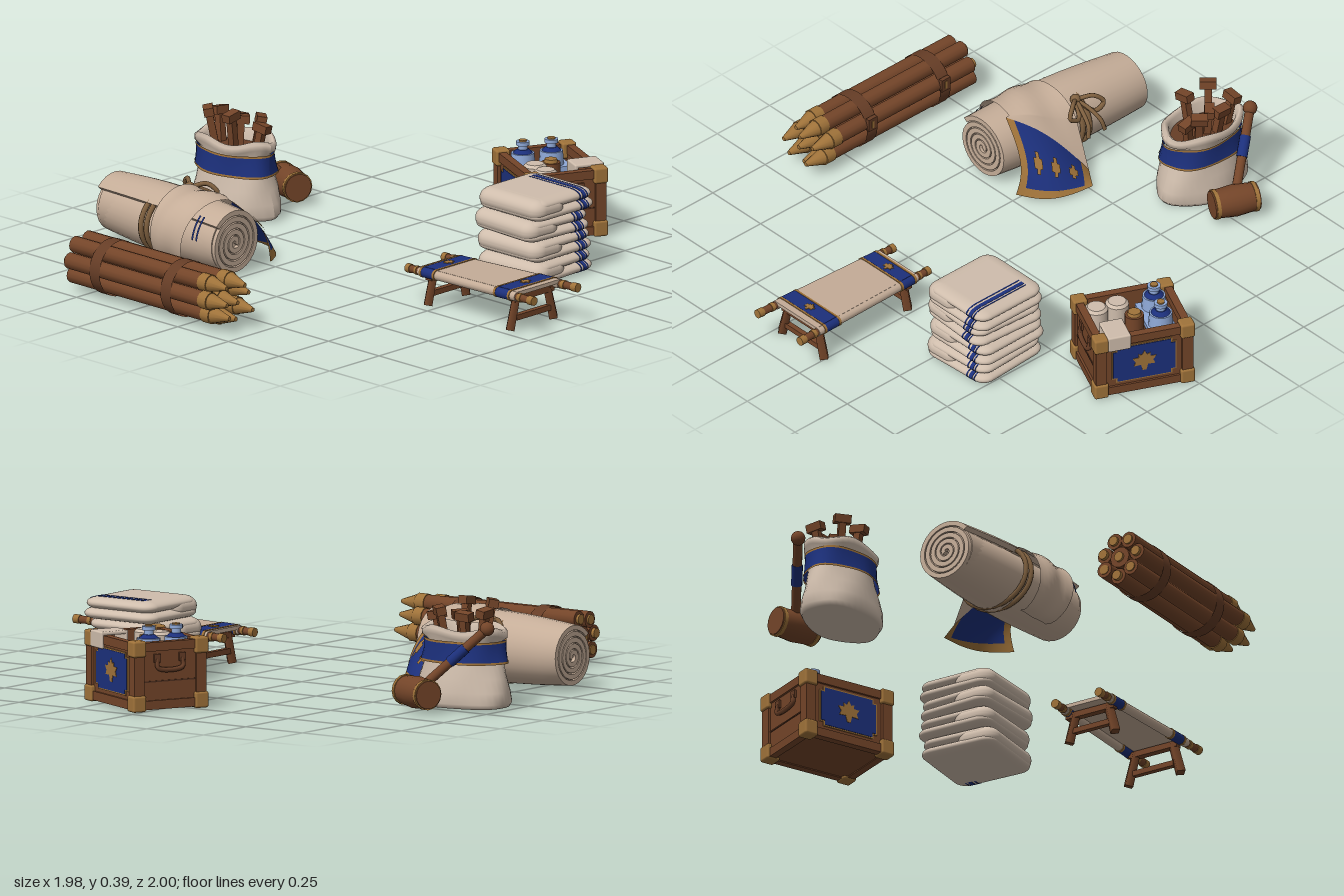
import * as THREE from 'three';
import { toCreasedNormals } from 'three/addons/utils/BufferGeometryUtils.js';
import { RoundedBoxGeometry } from 'three/addons/geometries/RoundedBoxGeometry.js';

const mat = (name, color, side = THREE.FrontSide) => {
  const m = new THREE.MeshStandardMaterial({ color, side });
  m.name = name;
  return m;
};
const canvas = mat('canvas', 0xc5ad98, THREE.DoubleSide), towelCloth = mat('towel', 0xcfbdac, THREE.DoubleSide);
const wood = mat('wood', 0x744529), darkWood = mat('darkWood', 0x4f2f1e);
const leather = mat('leather', 0x663d26, THREE.DoubleSide), gold = mat('gold', 0xa0733a, THREE.DoubleSide);
const blue = mat('blue', 0x1c307c, THREE.DoubleSide), paleBlue = mat('paleBlue', 0x8fa9d8), rope = mat('rope', 0x806140);

const V = (x, y, z) => new THREE.Vector3(x, y, z);
const group = (name, parent, x = 0, y = 0, z = 0) => {
  const g = new THREE.Group();
  g.name = name;
  g.position.set(x, y, z);
  parent.add(g);
  return g;
};
const add = (parent, name, geo, m, x = 0, y = 0, z = 0) => {
  const mesh = new THREE.Mesh(geo, m);
  mesh.name = name;
  mesh.position.set(x, y, z);
  parent.add(mesh);
  return mesh;
};
const box = (p, name, m, w, h, d, x, y, z) => add(p, name, new THREE.BoxGeometry(w, h, d), m, x, y, z);
const cyl = (p, name, m, r0, r1, h, x, y, z) => add(p, name, new THREE.CylinderGeometry(r1, r0, h, 16), m, x, y, z);
// Round bar from a to b
const rod = (p, name, m, a, b, r0, r1 = r0, sides = 12) => {
  const mesh = add(p, name, new THREE.CylinderGeometry(r1, r0, a.distanceTo(b), sides), m);
  mesh.position.copy(a).lerp(b, 0.5);
  mesh.quaternion.setFromUnitVectors(V(0, 1, 0), b.clone().sub(a).normalize());
  return mesh;
};
const cord = (p, name, m, pts, r) =>
  add(p, name, new THREE.TubeGeometry(new THREE.CatmullRomCurve3(pts), 24, r, 6), m);
// Surface from a rule fn(u, v) -> point
const sheet = (p, name, m, fn, nu = 16, nv = 12) => {
  const g = new THREE.PlaneGeometry(1, 1, nu, nv), a = g.attributes.position;
  for (let i = 0; i < a.count; i++) a.setXYZ(i, ...fn(a.getX(i) + 0.5, a.getY(i) + 0.5).toArray());
  g.computeVertexNormals();
  return add(p, name, g, m);
};
const warp = (g, fn) => {
  const a = g.attributes.position, v = V(0, 0, 0);
  for (let i = 0; i < a.count; i++) { v.fromBufferAttribute(a, i); fn(v); a.setXYZ(i, v.x, v.y, v.z); }
  g.computeVertexNormals();
  return g;
};
const plate = (pts, depth) => new THREE.ExtrudeGeometry(
  new THREE.Shape(pts.map(p => new THREE.Vector2(...p))), { depth, bevelEnabled: false });
// Leaf ornament in the xy plane, mirrored from half an outline
const leafGeo = s => {
  const half = [[0, 1], [0.22, 0.6], [0.5, 0.72], [0.48, 0.38], [1, 0.36], [0.74, -0.02], [0.9, -0.4], [0.3, -0.36], [0.16, -0.9]];
  const all = [...half, ...half.slice(1).reverse().map(([x, y]) => [-x, y])];
  return plate(all.map(([x, y]) => [x * s, y * s]), 0.004);
};
// Panel with notched corners
const notchedGeo = (w, h, c, depth) => plate([[w - c, -h], [w - c, c - h], [w, c - h], [w, h - c], [w - c, h - c], [w - c, h],
  [c - w, h], [c - w, h - c], [-w, h - c], [-w, c - h], [c - w, c - h], [c - w, -h]], depth);

function poleBundle(root) {
  const g = group('poleBundle', root, -0.89, 0.103, 0);
  for (let i = 0; i < 8; i++) {
    const r = i ? 0.07 : 0, t = i * Math.PI * 2 / 7 + 0.35, x = r * Math.cos(t), y = r * Math.sin(t);
    const z = 0.075 + 0.02 * Math.sin(i * 2.3);
    rod(g, 'pole', wood, V(x, y, -0.575 + 0.008 * Math.sin(i * 3)), V(x, y, z), i ? 0.03 : 0.039);
    rod(g, 'poleEnd', gold, V(x, y, -0.584), V(x, y, -0.57), 0.018);
    rod(g, 'poleCollar', gold, V(x, y, z), V(x, y, z + 0.04), 0.033);
    rod(g, 'poleTip', gold, V(x, y, z + 0.04), V(x * 0.95, y * 0.95, z + 0.115), 0.03, 0.008);
  }
  for (const z of [-0.42, -0.07]) {
    const s = add(g, 'strap', new THREE.CylinderGeometry(0.101, 0.101, 0.05, 28, 1, true), leather, 0, 0, z);
    s.rotation.x = Math.PI / 2;
    box(g, 'buckle', leather, 0.016, 0.05, 0.04, 0.098, 0.03, z);
    box(g, 'bucklePin', gold, 0.008, 0.03, 0.01, 0.104, 0.03, z);
  }
}

function bedroll(root) {
  const g = group('bedroll', root);
  const axisX = z => -0.433 + (-0.27 - z) * 0.085, L = 0.645;
  const swell = z => 0.92 + 0.13 * Math.sin(Math.PI * (z + 0.915) / L) + 0.06 * (z + 0.915) / L;
  // Spiral strip, extruded then swollen in the middle
  const shape = new THREE.Shape(), spiral = (off, i) => {
    const t = i / 130 * Math.PI * 9, r = 0.018 + 0.108 * i / 130 + off;
    return [r * Math.cos(t - 0.7), r * Math.sin(t - 0.7)];
  };
  shape.moveTo(...spiral(0, 0));
  for (let i = 1; i <= 130; i++) shape.lineTo(...spiral(0, i));
  for (let i = 130; i >= 0; i--) shape.lineTo(...spiral(-0.019, i));
  const place = v => {
    const z = v.z - 0.915, k = swell(z);
    v.set(axisX(z) + v.x * k, Math.max(0.003, 0.122 + v.y * k), z);
  };
  const geo = new THREE.ExtrudeGeometry(shape, { depth: L, steps: 8, bevelEnabled: false });
  add(g, 'rolledCloth', toCreasedNormals(warp(geo, place), 0.6), canvas);
  const core = new THREE.CylinderGeometry(0.108, 0.108, L - 0.03, 28).rotateX(Math.PI / 2).translate(0, 0, L / 2);
  add(g, 'rollCore', toCreasedNormals(warp(core, place), 0.6), canvas);
  // Short blue stripes on the side of the roll
  for (const z of [-0.365, -0.345]) sheet(g, 'rollStripe', blue, (t, w) => {
    const a = 2.3 + 0.7 * t, r = 0.13 * swell(z);
    return V(axisX(z) + r * Math.cos(a), 0.122 + r * Math.sin(a), z + 0.008 * w);
  }, 8, 1);
  // Loose flap over the roll and its bordered corner
  const inner = w => V(-0.38 + 0.2 * w, 0.25 - 0.225 * w + 0.035 * Math.sin(Math.PI * w), -0.335 - 0.215 * w);
  const outer = w => V(-0.255 + 0.145 * w + 0.035 * Math.sin(Math.PI * w), 0.012, -0.27 - 0.235 * w + 0.035 * Math.sin(Math.PI * w));
  sheet(g, 'flap', canvas, (t, w) => {
    const s = Math.min(t / 0.7, 1), a = 4.3 + (1.25 - 0.75 * w - 4.3) * s;
    const z = -0.42 - 0.15 * w + 0.07 * s * (1 - w), r = 0.142 + 0.005 * Math.sin(w * 9 + s * 5);
    return V(axisX(z) + r * Math.cos(a) * 1.08, Math.max(0.004, 0.122 + r * Math.sin(a)), z)
      .lerp(inner(w), Math.max(0, (t - 0.7) / 0.3));
  }, 30, 10);
  const corner = (name, m, u0, u1, v0, v1, lift = 0) => sheet(g, name, m, (a, b) => {
    const u = u0 + a * (u1 - u0), v = v0 + b * (v1 - v0), p = inner(u).lerp(outer(u), v), s = Math.sin(Math.PI * v);
    p.x += s * 0.05 * (1 - u) + lift;
    p.y += lift;
    return p;
  });
  corner('bluePanel', blue, 0.1, 0.9, 0, 0.86);
  corner('hem', gold, 0, 1, 0.86, 1);
  corner('frontHem', gold, 0, 0.1, 0, 0.86);
  corner('backHem', gold, 0.9, 1, 0, 0.86);
  for (const u of [0.25, 0.5, 0.75]) {
    corner('ornament', gold, u - 0.06, u + 0.06, 0.4, 0.55, 0.005);
    corner('ornamentStem', gold, u - 0.025, u + 0.025, 0.32, 0.63, 0.006);
  }
  // Rope loops and bow
  for (const z of [-0.605, -0.635]) {
    const loop = add(g, 'ropeLoop', new THREE.TorusGeometry(0.135, 0.01, 6, 36), rope, axisX(z), 0.124, z);
    loop.scale.y = 0.85;
  }
  const k = V(-0.315, 0.228, -0.61);
  add(g, 'knot', new THREE.SphereGeometry(0.02, 12, 8), rope, k.x, k.y, k.z);
  const from = (x, y, z) => V(x, y, z).add(k);
  for (const s of [-1, 1]) {
    cord(g, 'bowLoop', rope, [k, from(0.04, 0.015, s * 0.05), from(0.06, -0.015, s * 0.08), from(0.06, -0.035, s * 0.04), k], 0.009);
    cord(g, 'ropeTail', rope, [k, from(0.05, -0.015, s * 0.015), from(0.1, -0.05, s * 0.03), from(0.11, -0.09, s * 0.04)], 0.008);
  }
}

function pegSack(root) {
  const g = group('pegSack', root, 0.125, 0, -0.81);
  const lathe = (name, pts, m) => add(g, name, warp(new THREE.LatheGeometry(
    pts.map(([r, y]) => new THREE.Vector2(r, y)), 40), v => {
    const t = Math.atan2(v.z, v.x), k = 1 + 0.025 * Math.sin(5 * t + v.y * 25);
    v.set(v.x * k * 0.124, v.y + (v.y > 0.25 ? 0.008 * Math.sin(4 * t) : 0), v.z * k * 0.183);
  }), m);
  lathe('sackBody', [[0, 0.003], [0.95, 0.003], [1.02, 0.02], [1, 0.06], [0.93, 0.11], [0.85, 0.16], [0.79, 0.2], [0.8, 0.235],
    [0.91, 0.255], [0.92, 0.275], [0.84, 0.285], [0.75, 0.27], [0.71, 0.225]], towelCloth);
  lathe('sackBand', [[0.93, 0.165], [0.89, 0.2], [0.88, 0.235]], blue);
  lathe('bandLowerTrim', [[0.945, 0.16], [0.94, 0.168]], gold);
  lathe('bandUpperTrim', [[0.89, 0.233], [0.89, 0.241]], gold);
  lathe('sackInside', [[0.73, 0.235], [0, 0.235]], leather);
  // Wooden pegs
  for (let i = 0; i < 7; i++) {
    const x = [0.02, -0.03, 0.035][i % 3], z = -0.09 + 0.028 * i, h = 0.345 + 0.025 * Math.sin(i * 1.9);
    const peg = group('peg', g, x, 0.2, z);
    peg.rotation.set(z * 2, i * 0.8, -x * 5, 'XZY');
    box(peg, 'pegShaft', wood, 0.026, h - 0.2, 0.026, 0, (h - 0.2) / 2, 0);
    box(peg, 'pegHead', wood, 0.06, 0.03, 0.036, 0, h - 0.2, 0);
  }
  // Mallet leaning on the sack
  const m = group('mallet', root);
  const top = V(0.205, 0.295, -0.97), hit = V(0.34, 0.08, -0.775);
  rod(m, 'handle', wood, top, hit, 0.017);
  rod(m, 'grip', blue, top.clone().lerp(hit, 0.32), top.clone().lerp(hit, 0.56), 0.02);
  add(m, 'pommel', new THREE.SphereGeometry(0.026, 14, 10), wood, top.x, top.y, top.z);
  const head = group('malletHead', m, 0.347, 0.068, -0.765);
  head.rotation.set(Math.PI / 2, 0, 0.4);
  const barrel = [[0, -0.085], [0.05, -0.085], [0.058, 0], [0.05, 0.085], [0, 0.085]].map(p => new THREE.Vector2(...p));
  add(head, 'malletBarrel', toCreasedNormals(new THREE.LatheGeometry(barrel, 20), 0.6), wood);
  for (const y of [-0.073, 0.073]) cyl(head, 'malletBand', gold, 0.055, 0.055, 0.014, 0, y, 0);
}

function cot(root) {
  const g = group('cot', root);
  const P = (s, z, y = 0) => {
    const t = (z - 0.36) / 0.64;
    return V(-0.115 + 0.005 * t + s * (0.091 + 0.02 * t), 0.118 + 0.018 * t + y, z);
  };
  const bands = [[0.445, 0.5], [0.82, 0.88]];
  for (const s of [-1, 1]) {
    rod(g, 'rail', wood, P(s, 0.365), P(s, 0.995), 0.014);
    rod(g, 'canvasSleeve', canvas, P(s, 0.425), P(s, 0.915), 0.017);
    for (const [a, b] of [[0.36, 0.38], [0.405, 0.415], [0.925, 0.94], [0.975, 1]]) rod(g, 'railCap', gold, P(s, a), P(s, b), 0.0165);
    for (const [a, b] of bands) {
      rod(g, 'sleeveBand', blue, P(s, a), P(s, b), 0.019);
      for (const z of [a - 0.005, b + 0.005]) rod(g, 'sleeveTrim', gold, P(s, z - 0.005), P(s, z + 0.005), 0.02);
    }
  }
  const strip = (name, m, z0, z1, y, h) => add(g, name, warp(new THREE.BoxGeometry(2, h, 1).toNonIndexed(),
    v => v.copy(P(v.x, (z0 + z1) / 2 + v.z * (z1 - z0), y + v.y))), m);
  strip('bed', canvas, 0.425, 0.915, 0.0105, 0.014);
  for (const [a, b] of bands) {
    strip('blueStripe', blue, a, b, 0.017, 0.006);
    for (const z of [a - 0.005, b + 0.005]) strip('stripeTrim', gold, z - 0.004, z + 0.004, 0.017, 0.007);
    const leaf = add(g, 'ornament', leafGeo(0.021), gold, -0.112, P(0, (a + b) / 2).y + 0.019, (a + b) / 2);
    leaf.rotation.x = -Math.PI / 2;
  }
  // Splayed legs with cross bars
  for (const z of [0.465, 0.88]) {
    for (const s of [-1, 1]) {
      const foot = P(s * 1.02, z);
      foot.y = 0.003;
      rod(g, 'leg', wood, foot, P(s * 0.72, z, -0.008), 0.021, 0.019, 4);
    }
    box(g, 'legBar', wood, 0.17, 0.02, 0.02, -0.11, 0.045, z);
    box(g, 'topBar', wood, 0.2, 0.022, 0.026, -0.11, P(0, z).y - 0.016, z);
  }
}

function towelStack(root) {
  const g = group('towelStack', root, 0.355, 0, 0.435);
  for (let i = 0; i < 4; i++) {
    const t = group('towel', g, 0.007 * Math.sin(i * 2.4), 0.002 + i * 0.0765, 0.006 * Math.cos(i * 2));
    t.rotation.y = 0.06 * Math.sin(i * 1.7 + 1.2);
    // Rounded fold on the closed side
    add(t, 'foldedEdge', new RoundedBoxGeometry(0.16, 0.1, 0.312, 5, 0.048).scale(1, 0.78, 1), towelCloth, -0.074, 0.039, 0);
    for (let j = 0; j < 2; j++) {
      const w = 0.302 - 0.01 * j, d = 0.315 - 0.012 * j, y = 0.02 + j * 0.037;
      add(t, 'layer', new RoundedBoxGeometry(w, 0.1, d, 5, 0.049).scale(1, 0.43, 1), towelCloth, 0.003, y, 0);
      // Stripes wrapped over the front of the layer
      const c = d / 2 - 0.047, shape = new THREE.Shape().moveTo(-0.1, -0.0225);
      shape.absellipse(c, 0, 0.049, 0.0225, -Math.PI / 2, Math.PI / 2);
      shape.lineTo(-0.1, 0.0225);
      for (const [x, wide] of [[0.066, 0.005], [0.08, 0.016], [0.102, 0.004]]) {
        const sg = new THREE.ExtrudeGeometry(shape, { depth: wide, bevelEnabled: false }).rotateY(Math.PI / 2)
          .rotateY(Math.PI);
        add(t, 'stripe', sg, blue, x + wide, y, 0);
      }
    }
  }
}

function supplyCrate(root) {
  const g = group('supplyCrate', root, 0.77, 0, 0.11), W = 0.28, D = 0.35;
  g.rotation.y = -0.436;
  box(g, 'crateFloor', wood, W - 0.02, 0.16, D - 0.02, 0, 0.09, 0);
  for (const s of [-1, 1]) {
    // Long sides with blue panels
    box(g, 'longWall', wood, 0.018, 0.22, D - 0.02, s * (W / 2 - 0.014), 0.125, 0);
    const face = group('panel', g, s * (W / 2 - 0.005), 0.128, 0);
    face.rotation.y = s * Math.PI / 2;
    add(face, 'panelTrim', notchedGeo(0.12, 0.077, 0.016, 0.004), gold);
    add(face, 'bluePanel', notchedGeo(0.115, 0.072, 0.016, 0.006), blue);
    add(face, 'ornament', leafGeo(0.044), gold, 0, 0, 0.004);
    // Short sides with handles
    box(g, 'shortWall', wood, W - 0.02, 0.22, 0.018, 0, 0.125, s * (D / 2 - 0.014));
    const z = s * (D / 2 - 0.002), H = (x, y, o) => V(x, y, z + s * o);
    box(g, 'boardGap', darkWood, W - 0.06, 0.005, 0.004, 0, 0.105, s * (D / 2 - 0.004));
    cord(g, 'handle', leather, [H(-0.05, 0.185, 0), H(-0.05, 0.155, 0.006), H(0, 0.145, 0.008), H(0.05, 0.155, 0.006), H(0.05, 0.185, 0)], 0.009);
    for (const x of [-0.05, 0.05]) box(g, 'handlePlate', leather, 0.026, 0.03, 0.01, x, 0.188, z);
    for (const y of [0.022, 0.23]) {
      box(g, 'longRail', wood, 0.028, 0.032, D, s * (W / 2 - 0.011), y, 0);
      box(g, 'shortRail', wood, W, 0.032, 0.028, 0, y, s * (D / 2 - 0.011));
    }
    for (const r of [-1, 1]) {
      const x = s * (W / 2 - 0.015), zz = r * (D / 2 - 0.015);
      box(g, 'cornerPost', wood, 0.04, 0.24, 0.04, x, 0.125, zz);
      for (const y of [0.029, 0.225])
        add(g, 'cornerBracket', new RoundedBoxGeometry(0.053, 0.058, 0.053, 2, 0.008), gold, x, y, zz);
    }
  }
  // Bottles, jar and rolled cloths inside
  box(g, 'blueLining', paleBlue, 0.2, 0.02, 0.1, 0, 0.19, -0.09);
  for (const [x, z] of [[-0.065, -0.1], [0.04, -0.092]]) {
    cyl(g, 'bottle', paleBlue, 0.045, 0.041, 0.06, x, 0.22, z);
    cyl(g, 'bottleShoulder', blue, 0.036, 0.02, 0.014, x, 0.256, z);
    cyl(g, 'bottleNeck', paleBlue, 0.017, 0.017, 0.02, x, 0.27, z);
    cyl(g, 'bottleCap', paleBlue, 0.024, 0.024, 0.014, x, 0.285, z);
    cyl(g, 'cork', gold, 0.014, 0.014, 0.006, x, 0.294, z);
  }
  cyl(g, 'jar', wood, 0.034, 0.034, 0.07, 0.005, 0.2, -0.005);
  cyl(g, 'jarLid', gold, 0.026, 0.022, 0.014, 0.005, 0.24, -0.005);
  for (const [x, z] of [[-0.07, 0.035], [-0.06, 0.115]]) {
    cyl(g, 'clothRoll', towelCloth, 0.042, 0.042, 0.08, x, 0.2, z);
    cyl(g, 'clothRollTop', towelCloth, 0.042, 0.032, 0.01, x, 0.245, z);
  }
  // Cloth hung over the edge
  const clothBox = (w, h, x, y) => add(g, 'hungCloth', new RoundedBoxGeometry(w, h, 0.085, 3, 0.006), towelCloth, x, y, 0.095);
  clothBox(0.11, 0.014, 0.098, 0.252);
  clothBox(0.014, 0.06, 0.146, 0.228);
  clothBox(0.014, 0.07, 0.05, 0.222);
}

export function createModel() {
  const root = new THREE.Group();
  root.name = 'campSupplies';
  for (const build of [poleBundle, bedroll, pegSack, cot, towelStack, supplyCrate]) build(root);
  return root;
}
